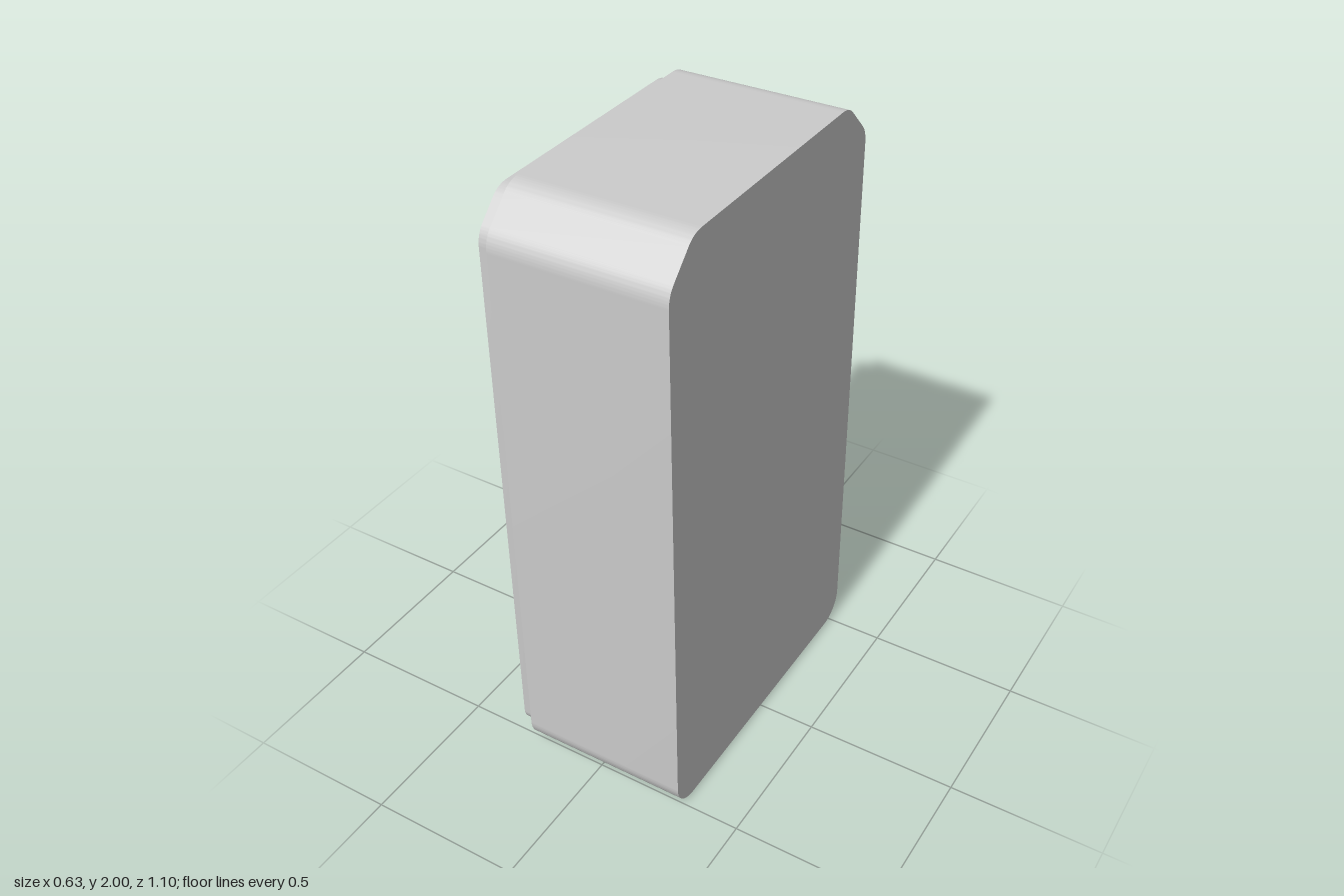
import * as THREE from 'three';
import { toCreasedNormals } from 'three/addons/utils/BufferGeometryUtils.js';

const BACK = -0.257;  // x of the cover's shoulder and recess floor
const LIP = 0.05;     // height of the lip, ribs and bosses

// Outline in (z, y), inset by d: chamfered top corners, round bottom corners
function outline(d, C = THREE.Shape) {
  const w = 0.54 - d, b = 0.006 + d, t = 1.995 - d;
  const c = 0.12 - d * 0.59, r = Math.max(0.09 - d, 0.03);
  const s = new C();
  s.moveTo(-w + r, b);
  s.lineTo(w - r, b);
  s.absarc(w - r, b + r, r, -Math.PI / 2, 0, false);
  s.lineTo(w, t - c - 0.04);
  s.quadraticCurveTo(w, t - c, w - 0.025, t - c + 0.025);
  s.lineTo(w - c + 0.025, t - 0.025);
  s.quadraticCurveTo(w - c, t, w - c - 0.04, t);
  s.lineTo(-w + c + 0.04, t);
  s.quadraticCurveTo(-w + c, t, -w + c - 0.025, t - 0.025);
  s.lineTo(-w + 0.025, t - c + 0.025);
  s.quadraticCurveTo(-w, t - c, -w, t - c - 0.04);
  s.lineTo(-w, b + r);
  s.absarc(-w + r, b + r, r, Math.PI, Math.PI * 1.5, false);
  return s;
}

export function createModel() {
  const model = new THREE.Group();
  model.name = 'enclosureCover';
  const material = new THREE.MeshStandardMaterial({ color: 0xcccccc });

  // The whole cover leans very slightly about its centre
  const cover = new THREE.Group();
  cover.name = 'cover';
  cover.position.y = 1;
  cover.rotation.set(0.008, -0.003, 0.008);
  model.add(cover);

  // Extrude a (z, y) shape from x towards -x
  function extrude(name, shape, x, depth) {
    let g = new THREE.ExtrudeGeometry(shape, { depth, bevelEnabled: false, curveSegments: 16 });
    g.rotateY(-Math.PI / 2);
    g.translate(x, -1, 0);
    g = toCreasedNormals(g, 0.6);
    const mesh = new THREE.Mesh(g, material);
    mesh.name = name;
    cover.add(mesh);
  }

  // Rib of constant thickness following points [z, y]
  function rib(name, points, thickness = 0.025) {
    const p = points.map(([z, y]) => new THREE.Vector2(z, y));
    const side = (k) => p.map((q, i) => {
      const dir = p[Math.min(i + 1, p.length - 1)].clone().sub(p[Math.max(i - 1, 0)]).normalize();
      return new THREE.Vector2(q.x - dir.y * k, q.y + dir.x * k);
    });
    const shape = new THREE.Shape([...side(-thickness / 2), ...side(thickness / 2).reverse()]);
    extrude(name, shape, BACK, LIP - 0.004);
  }

  // Main body and the raised lip round the open side
  extrude('body', outline(0), 0.303, 0.56);
  const lip = outline(0.032);
  lip.holes.push(outline(0.075, THREE.Path));
  extrude('lip', lip, BACK, LIP);

  // Screw bosses in the four corners
  for (const [z, y] of [[0.4, 1.85], [-0.4, 1.85], [0.4, 0.14], [-0.41, 0.13]]) {
    const ring = new THREE.Shape().absarc(z, y, 0.066, 0, Math.PI * 2, false);
    ring.holes.push(new THREE.Path().absarc(z, y, 0.04, 0, Math.PI * 2, true));
    extrude('screwBoss', ring, BACK, LIP - 0.002);
  }

  // Curved rib across the bottom, ending in a ledge to the side wall
  const arc = [];
  for (let i = 0; i <= 20; i++) {
    const a = -Math.PI * 0.6 + (i / 20) * Math.PI * 0.49;
    arc.push([-0.17 + 0.43 * Math.cos(a), 0.51 + 0.43 * Math.sin(a)]);
  }
  rib('curvedRib', arc);
  rib('cornerLedge', [[0.22, 0.36], [0.47, 0.36]]);

  // Slanted rib beside the opposite bottom boss
  rib('slantedRib', [[-0.47, 0.35], [-0.44, 0.33], [-0.37, 0.19], [-0.34, 0.08]]);

  // Side stops and a small locating pin
  rib('longStop', [[0.25, 0.58], [0.47, 0.58]], 0.035);
  rib('shortStop', [[-0.47, 0.56], [-0.42, 0.56]], 0.035);
  extrude('locatingPin', new THREE.Shape().absarc(0.28, 0.74, 0.018, 0, Math.PI * 2, false), BACK, 0.015);

  return model;
}
